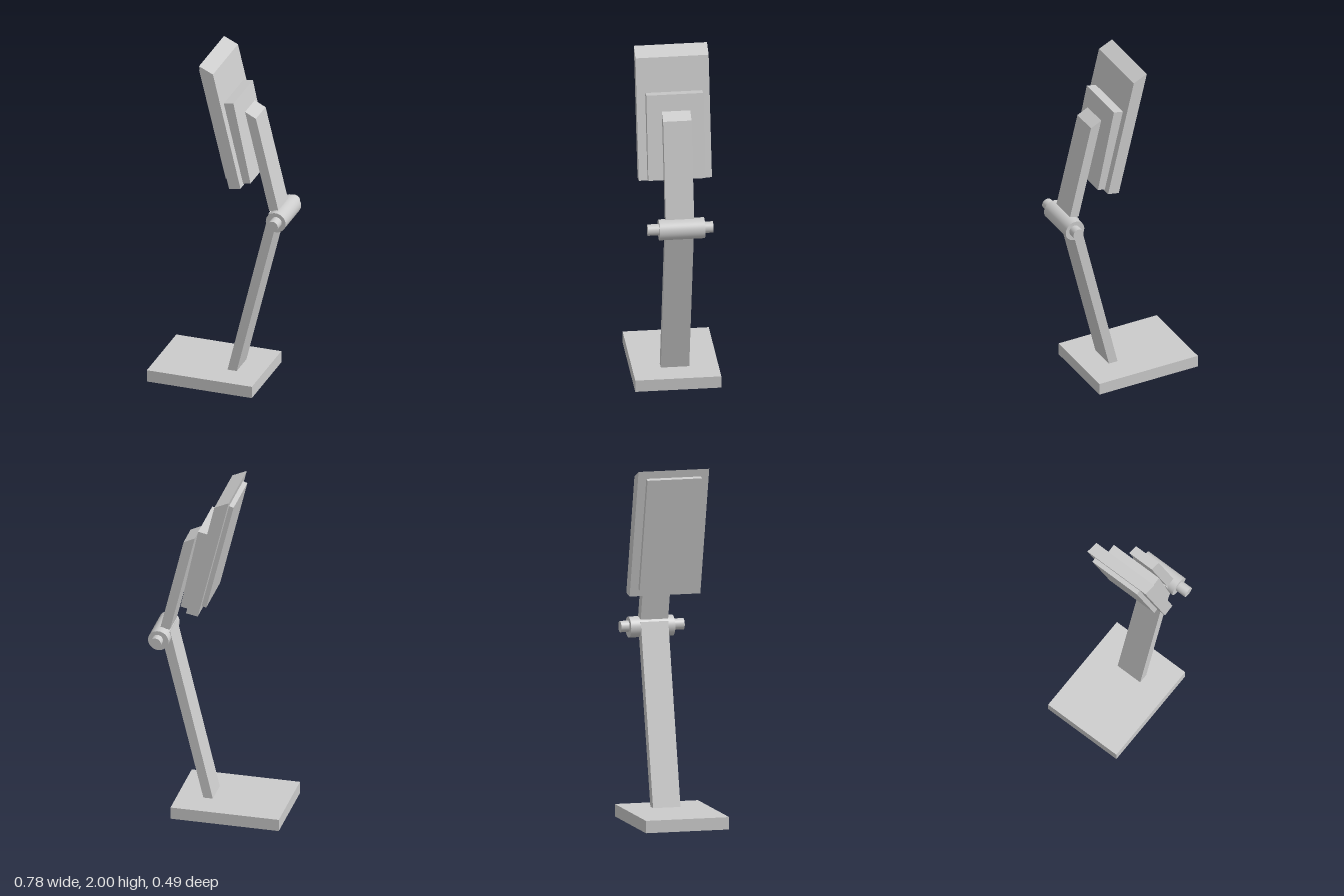
import * as THREE from 'three';

const material = new THREE.MeshStandardMaterial({ color: 0xcccccc });

// Slab with a side profile in x/y, running from z0 to z1
function slab(name, corners, z0, z1) {
  const shape = new THREE.Shape(corners.map(([x, y]) => new THREE.Vector2(x, y)));
  const geometry = new THREE.ExtrudeGeometry(shape, { depth: z1 - z0, bevelEnabled: false });
  geometry.translate(0, 0, z0);
  const mesh = new THREE.Mesh(geometry, material);
  mesh.name = name;
  return mesh;
}

// Cylinder lying along z
function rod(name, radius, x, y, z0, z1) {
  const geometry = new THREE.CylinderGeometry(radius, radius, z1 - z0, 40);
  geometry.rotateX(Math.PI / 2);
  const mesh = new THREE.Mesh(geometry, material);
  mesh.position.set(x, y, (z0 + z1) / 2);
  mesh.name = name;
  return mesh;
}

export function createModel() {
  const model = new THREE.Group();
  model.name = 'monitorOnStand';

  // Foot plate and leaning arm
  model.add(slab('base', [[-0.392, 0], [0.233, 0], [0.233, 0.07], [-0.392, 0.07]], -0.244, 0.241));
  model.add(slab('lowerArm', [[0.016, 0.012], [0.068, 0.002], [0.33, 1.07], [0.276, 1.087]], -0.08, 0.08));

  // Hinge
  model.add(rod('hingeBarrel', 0.059, 0.331, 1.053, -0.137, 0.12));
  model.add(rod('hingePin', 0.032, 0.335, 1.057, -0.185, 0.184));

  // Arm leaning back over the base
  model.add(slab('upperArm', [[0.278, 1.1], [0.333, 1.108], [0.199, 1.66], [0.134, 1.692]], -0.08, 0.08));

  // Head: mounting plate, casing and screen
  model.add(slab('mountPlate', [[0.148, 1.285], [0.197, 1.295], [0.095, 1.777], [0.038, 1.766]], -0.158, 0.163));
  model.add(slab('casing', [[0.087, 1.266], [0.155, 1.278], [-0.009, 1.962], [-0.092, 2]], -0.2, 0.212));
  model.add(slab('screen', [[0.05, 1.303], [0.078, 1.31], [-0.082, 1.957], [-0.108, 1.95]], -0.152, 0.165));

  return model;
}
